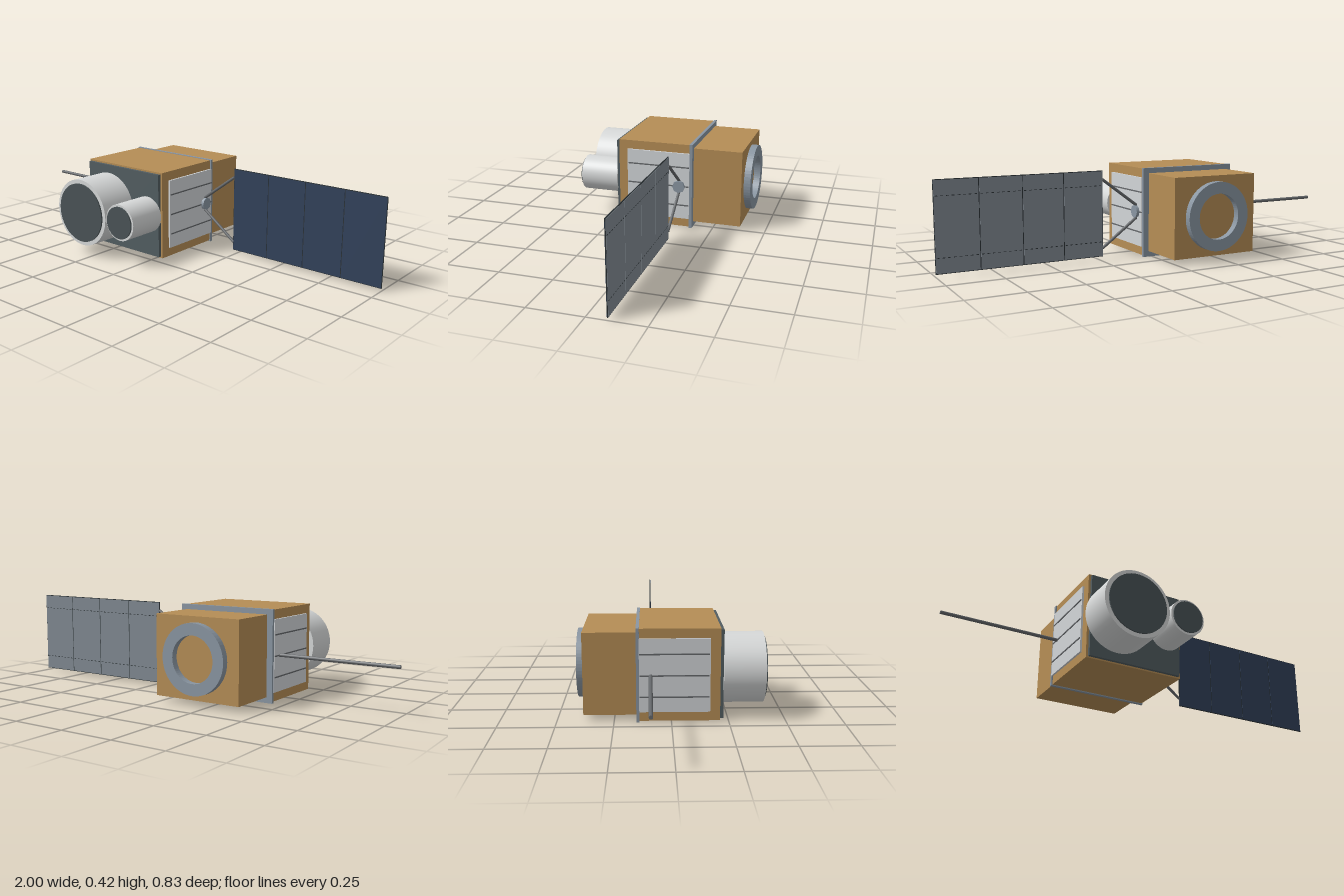
import * as THREE from 'three';

const mat = (name, color) => {
  const m = new THREE.MeshStandardMaterial({ color });
  m.name = name;
  return m;
};

export function createModel() {
  const gold = mat('gold foil', 0xb58d55);
  const white = mat('white tube', 0xd6d8d8);
  const radiatorGrey = mat('radiator grey', 0xd2d5d8);
  const slate = mat('slate metal', 0x8a96a2);
  const dark = mat('dark plate', 0x525d61);
  const lensDark = mat('lens', 0x4a5356);
  const strutGrey = mat('strut grey', 0x66696c);
  const navy = mat('solar cells', 0x31415a);
  const backGrey = mat('panel back', 0x808991);
  const edgeDark = mat('panel edge', 0x2c3336);

  const model = new THREE.Group();
  model.name = 'satellite';
  const CX = -0.2, CY = 0.21, WING_Z = -0.09;

  const add = (name, geo, material, x, y, z, parent = model) => {
    const m = new THREE.Mesh(geo, material);
    m.name = name;
    m.position.set(x, y, z);
    parent.add(m);
    return m;
  };
  // box given by its limits along each axis
  const box = (name, material, x0, x1, y0, y1, z0, z1, parent = model) =>
    add(name, new THREE.BoxGeometry(x1 - x0, y1 - y0, z1 - z0), material,
      (x0 + x1) / 2, (y0 + y1) / 2, (z0 + z1) / 2, parent);
  // cylinder along z between z0 and z1
  const disc = (name, material, r, x, y, z0, z1, parent) =>
    add(name, new THREE.CylinderGeometry(r, r, z1 - z0, 48).rotateX(Math.PI / 2),
      material, x, y, (z0 + z1) / 2, parent);
  // round bar between two points
  const bar = (name, material, a, b, r) => {
    const d = b.clone().sub(a);
    const mid = a.clone().add(b).multiplyScalar(0.5);
    const m = add(name, new THREE.CylinderGeometry(r, r, d.length(), 10), material, mid.x, mid.y, mid.z);
    m.quaternion.setFromUnitVectors(new THREE.Vector3(0, 1, 0), d.normalize());
    return m;
  };

  // body
  box('frontBody', gold, -0.437, 0.037, 0.005, 0.415, -0.14, 0.212);
  box('rearBody', gold, -0.415, 0.015, 0.026, 0.394, -0.385, -0.15);
  box('collar', slate, -0.443, 0.043, 0, 0.418, -0.153, -0.139);
  box('frontPlate', dark, -0.427, 0.027, 0.012, 0.407, 0.212, 0.227);

  // rear docking ring, open in the middle
  const ringShape = new THREE.Shape().absarc(0, 0, 0.158, 0, Math.PI * 2);
  ringShape.holes.push(new THREE.Path().absarc(0, 0, 0.105, 0, Math.PI * 2, true));
  add('rearRing', new THREE.ExtrudeGeometry(ringShape, { depth: 0.032, bevelEnabled: false, curveSegments: 32 }),
    slate, CX, CY, -0.417);

  // instrument tubes with dark lenses
  for (const [name, x, r, lensR] of [['large', -0.294, 0.159, 0.14], ['small', -0.043, 0.085, 0.075]]) {
    const tube = new THREE.Group();
    tube.name = name + 'Instrument';
    model.add(tube);
    disc('tube', white, r, x, CY, 0.226, 0.41, tube);
    disc('lens', lensDark, lensR, x, CY, 0.405, 0.417, tube);
  }

  // side radiators with three strips each
  for (const s of [-1, 1]) {
    const radiator = new THREE.Group();
    radiator.name = s > 0 ? 'leftRadiator' : 'rightRadiator';
    model.add(radiator);
    const slab = (name, material, d0, d1, y0, y1, z0, z1) => {
      const a = CX + s * d0, b = CX + s * d1;
      box(name, material, Math.min(a, b), Math.max(a, b), y0, y1, z0, z1, radiator);
    };
    slab('radiatorPanel', radiatorGrey, 0.235, 0.246, 0.047, 0.373, -0.14, 0.168);
    for (const y of [0.115, 0.21, 0.305])
      slab('radiatorStrip', strutGrey, 0.246, 0.249, y - 0.003, y + 0.003, -0.138, 0.163);
  }

  // wing hub and V struts
  add('wingHub', new THREE.CylinderGeometry(0.03, 0.03, 0.016, 8).rotateZ(Math.PI / 2), slate, 0.052, CY, WING_Z);
  for (const s of [-1, 1])
    bar('wingStrut', strutGrey, new THREE.Vector3(0.045, CY + s * 0.028, WING_Z),
      new THREE.Vector3(0.225, CY + s * 0.16, WING_Z), 0.007);

  // solar wing: four panels on a dark frame
  const wing = new THREE.Group();
  wing.name = 'solarWing';
  model.add(wing);
  const W0 = 0.224, STEP = (1 - W0) / 4;
  box('wingFrame', edgeDark, W0, 1, 0.011, 0.411, WING_Z - 0.002, WING_Z + 0.002, wing);
  for (let i = 0; i < 4; i++) {
    const x0 = W0 + i * STEP + 0.002, x1 = W0 + (i + 1) * STEP - 0.002;
    box('cellFace', navy, x0, x1, 0.014, 0.408, WING_Z + 0.002, WING_Z + 0.0035, wing);
    box('panelBack', backGrey, x0, x1, 0.014, 0.408, WING_Z - 0.0035, WING_Z - 0.002, wing);
    // dashed seams on the back
    for (const y of [0.08, 0.342])
      for (let k = 0; k < 8; k++) {
        const x = x0 + 0.006 + k * 0.024;
        box('backSeam', edgeDark, x, x + 0.012, y - 0.0015, y + 0.0015, WING_Z - 0.004, WING_Z - 0.0035, wing);
      }
  }

  // boom on the opposite side
  bar('boom', strutGrey, new THREE.Vector3(-1, CY, WING_Z), new THREE.Vector3(-0.44, CY, WING_Z), 0.008);

  return model;
}
